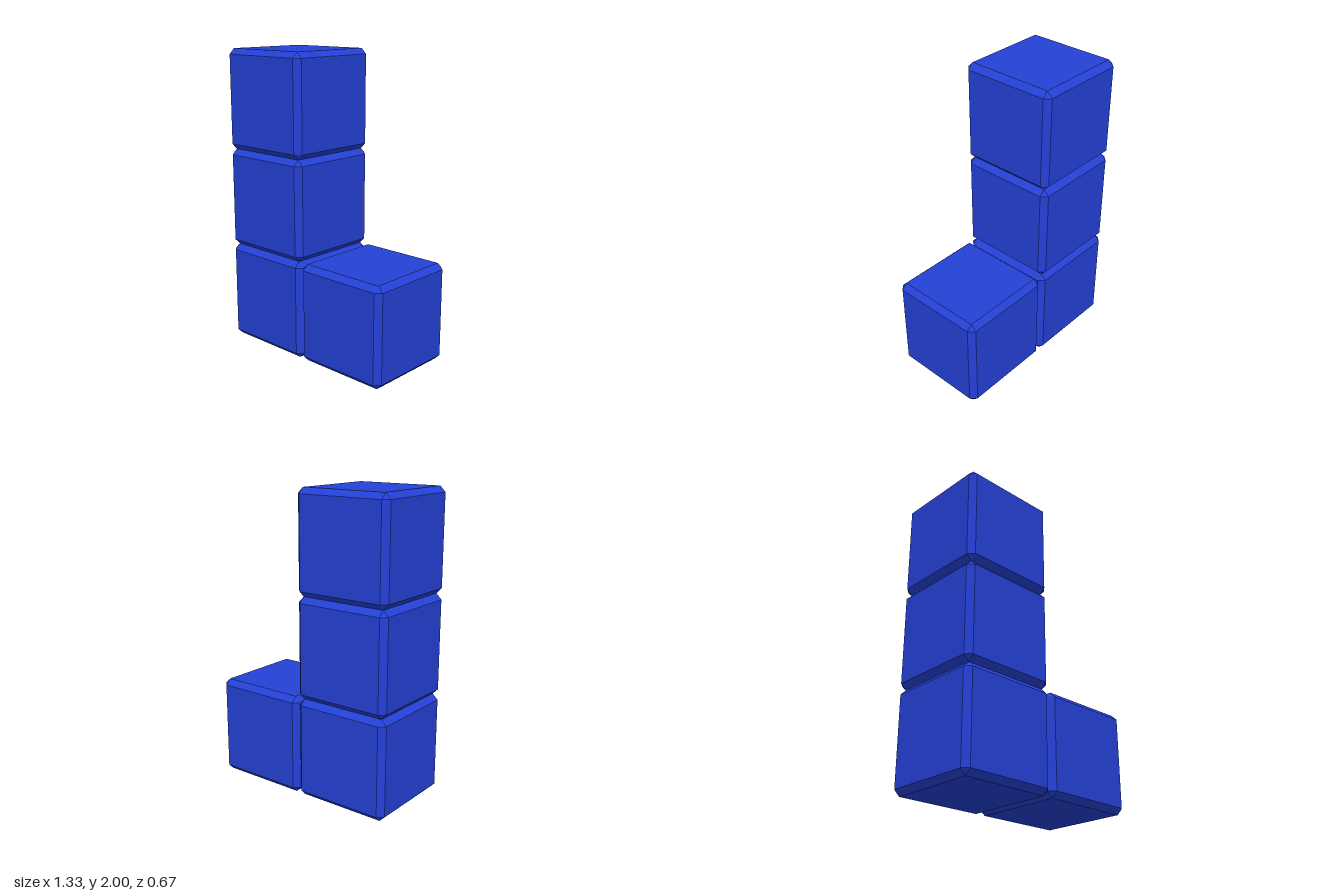
import * as THREE from 'three';
import { ConvexGeometry } from 'three/addons/geometries/ConvexGeometry.js';

const SIZE = 2 / 3;
const BEVEL = 0.037;

// Cube with flat chamfers on every edge and corner
function chamferedCube(size, bevel) {
  const outer = size / 2;
  const inner = outer - bevel;
  const points = [];
  for (const x of [-1, 1]) for (const y of [-1, 1]) for (const z of [-1, 1]) {
    points.push(
      new THREE.Vector3(x * outer, y * inner, z * inner),
      new THREE.Vector3(x * inner, y * outer, z * inner),
      new THREE.Vector3(x * inner, y * inner, z * outer),
    );
  }
  return new ConvexGeometry(points);
}

export function createModel() {
  const model = new THREE.Group();
  model.name = 'lShapedBlock';
  const material = new THREE.MeshStandardMaterial({ color: 0x2441d6, flatShading: true });
  const geometry = chamferedCube(SIZE, BEVEL);

  // Column of three cubes with a foot beside the lowest one: [name, column, row]
  const cubes = [
    ['bottomCube', 0, 0],
    ['middleCube', 0, 1],
    ['topCube', 0, 2],
    ['footCube', 1, 0],
  ];
  for (const [name, column, row] of cubes) {
    const cube = new THREE.Mesh(geometry, material);
    cube.name = name;
    cube.position.set((column - 0.5) * SIZE, (row + 0.5) * SIZE, 0);
    model.add(cube);
  }
  return model;
}
